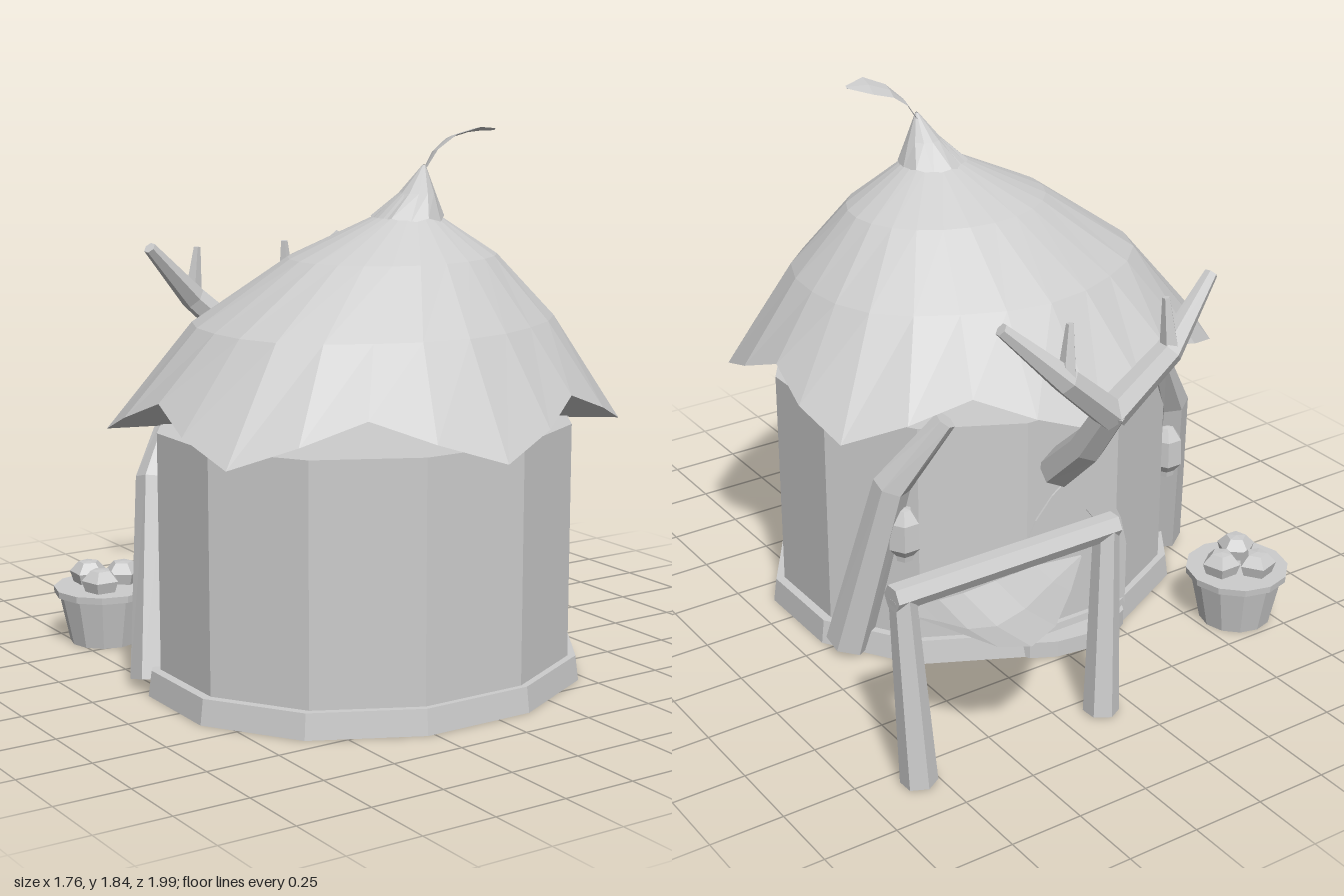
import * as THREE from 'three';

const CX = -0.077, CZ = 0.215;   // centre of the hut
const V = (x, y, z) => new THREE.Vector3(x, y, z);

// Skin through cross-section rings, optionally capped at both ends
function loft(rings, caps = true) {
  const n = rings[0].length, pos = [];
  const tri = (...p) => p.forEach(v => pos.push(v.x, v.y, v.z));
  for (let i = 0; i < rings.length - 1; i++) {
    for (let j = 0; j < n; j++) {
      const k = (j + 1) % n;
      const a = rings[i][j], b = rings[i][k], c = rings[i + 1][k], d = rings[i + 1][j];
      tri(a, b, c);
      tri(a, c, d);
    }
  }
  if (caps) {
    const first = rings[0], last = rings[rings.length - 1];
    for (let j = 1; j < n - 1; j++) {
      tri(first[0], first[j + 1], first[j]);
      tri(last[0], last[j], last[j + 1]);
    }
  }
  const g = new THREE.BufferGeometry();
  g.setAttribute('position', new THREE.Float32BufferAttribute(pos, 3));
  return g;
}

// Tapered bent limb along points with a radius at each
function limb(points, radii, sides = 6) {
  return loft(points.map((p, i) => {
    const t = points[Math.min(i + 1, points.length - 1)].clone()
      .sub(points[Math.max(i - 1, 0)]).normalize();
    const u = t.clone().cross(Math.abs(t.z) < 0.8 ? V(0, 0, 1) : V(1, 0, 0)).normalize();
    const v = t.clone().cross(u);
    return Array.from({ length: sides }, (_, j) => {
      const a = (j + 0.5) / sides * Math.PI * 2;
      return p.clone().addScaledVector(u, radii[i] * Math.cos(a)).addScaledVector(v, radii[i] * Math.sin(a));
    });
  }));
}

// Pointed arch outline, base at y0
function arch(w, y0, spring, top) {
  const s = new THREE.Shape();
  s.moveTo(-w, y0);
  s.lineTo(w, y0);
  s.lineTo(w, spring);
  s.quadraticCurveTo(w * 0.85, spring + (top - spring) * 0.7, 0, top);
  s.quadraticCurveTo(-w * 0.85, spring + (top - spring) * 0.7, -w, spring);
  return s;
}

export function createModel() {
  const root = new THREE.Group();
  const grey = new THREE.MeshStandardMaterial({ color: 0xcccccc, side: THREE.DoubleSide });
  grey.name = 'light grey';

  // Adds a faceted mesh
  const add = (name, geo, x = 0, y = 0, z = 0, parent = root) => {
    const g = geo.index ? geo.toNonIndexed() : geo;
    g.computeVertexNormals();
    const m = new THREE.Mesh(g, grey);
    m.name = name;
    m.position.set(x, y, z);
    parent.add(m);
    return m;
  };

  // Oval twelve-sided walls standing on a hollow plinth
  const turn = Math.PI / 12;
  add('walls', new THREE.CylinderGeometry(1, 1, 0.79, 12).rotateY(turn).scale(0.7225, 1, 0.636), CX, 0.48, CZ);
  add('plinthSide', new THREE.CylinderGeometry(0.985, 1, 0.085, 12, 1, true).rotateY(turn).scale(0.766, 1, 0.667), CX, 0.0425, CZ);
  add('plinthTop', new THREE.CircleGeometry(0.985, 12).rotateX(-Math.PI / 2).rotateY(turn).scale(0.766, 1, 0.667), CX, 0.085, CZ);

  // Roof: underside fan, six drooping lobes at the eave, leaning up to an off-centre peak
  const N = 24;
  const ring = (cx, cz, rx, rz, y, lobe = 0, droop = 0) => Array.from({ length: N }, (_, j) => {
    const a = j / N * Math.PI * 2, k = (1 - Math.cos(6 * a)) / 2;
    const r = 1 + lobe * k;
    return V(cx + rx * r * Math.cos(a), y - droop * k, cz - rz * r * Math.sin(a));
  });
  add('roof', loft([
    ring(CX, CZ, 0.003, 0.003, 0.888),
    ring(CX, CZ, 0.778, 0.686, 1.005, 0.132, 0.145),
    ring(-0.067, 0.25, 0.605, 0.51, 1.215, 0.03),
    ring(-0.02, 0.285, 0.36, 0.3, 1.425),
    ring(0.005, 0.327, 0.113, 0.105, 1.553),
    ring(0.046, 0.365, 0.003, 0.003, 1.7),
  ]));
  const capRing = (r, y, x, z, zig) => Array.from({ length: 12 }, (_, j) => {
    const a = j / 12 * Math.PI * 2;
    return V(x + r * Math.cos(a), y + (j % 2 ? zig : 0), z - r * Math.sin(a));
  });
  add('roofCap', loft([capRing(0.12, 1.54, 0.008, 0.327, 0.015), capRing(0.06, 1.63, 0.03, 0.35, 0),
    capRing(0.005, 1.72, 0.046, 0.365, 0)], false));

  // Curled leaf on the peak
  const leaf = [[0.046, 1.7, 0.362, 0.012], [0.09, 1.765, 0.362, 0.026], [0.14, 1.81, 0.38, 0.048],
    [0.205, 1.832, 0.41, 0.062], [0.28, 1.832, 0.428, 0.01]];
  add('leaf', loft(leaf.map(([x, y, z, w]) => [V(x + w * 0.3, y - w * 0.25, z - w), V(x, y, z),
    V(x - w * 0.2, y + w * 0.15, z + w), V(x, y - 0.006, z)]), false));

  // Door with pointed frame, knob and rounded step
  const door = new THREE.Group();
  door.name = 'door';
  door.position.set(CX, 0, 0);
  root.add(door);
  const frame = arch(0.23, 0.06, 0.3, 0.64);
  frame.holes.push(arch(0.14, 0.07, 0.28, 0.53));
  add('doorFrame', new THREE.ExtrudeGeometry(frame, { depth: 0.08, bevelEnabled: false, curveSegments: 4 }), 0, 0, -0.406, door);
  add('doorPanel', new THREE.ExtrudeGeometry(arch(0.14, 0.07, 0.28, 0.53),
    { depth: 0.05, bevelEnabled: false, curveSegments: 4 }), 0, 0, -0.4, door);
  add('doorKnob', new THREE.IcosahedronGeometry(0.02, 0).scale(1, 1, 0.45), 0.09, 0.257, -0.444, door);
  add('doorStepSide', new THREE.CylinderGeometry(1, 1, 0.06, 12, 1, true).scale(0.23, 1, 0.12), 0, 0.03, -0.38, door);
  add('doorStepTop', new THREE.CircleGeometry(1, 12).rotateX(-Math.PI / 2).rotateY(Math.PI / 2).scale(0.23, 1, 0.12), 0, 0.06, -0.38, door);

  // Leaning side struts, each with a lantern
  for (const s of [1, -1]) {
    const side = s > 0 ? 'left' : 'right';
    const X = x => CX + s * (x - CX);
    add(side + 'Strut', limb([V(X(0.6), 0.027, -0.035), V(X(0.505), 0.67, -0.185), V(X(0.36), 0.91, -0.29)],
      [0.079, 0.064, 0.038]));
    const profile = [[0, -0.1], [0.03, -0.1], [0.033, -0.08], [0.058, -0.05], [0.055, 0.045], [0.025, 0.088], [0, 0.092]];
    add(side + 'Lantern', new THREE.LatheGeometry(profile.map(p => new THREE.Vector2(...p)), 6).rotateY(Math.PI / 6), X(0.475), 0.495, -0.21);
  }

  // Forked branch over the door
  add('branchTrunk', limb([V(0, 0.68, -0.41), V(0, 0.84, -0.58), V(0, 1.03, -0.715)], [0.066, 0.061, 0.055]));
  for (const s of [1, -1]) {
    add('branchArm', limb([V(0, 1.0, -0.70), V(s * 0.2, 1.18, -0.73), V(s * 0.405, 1.38, -0.675)], [0.056, 0.047, 0.023]));
    add('branchTwig', limb([V(s * 0.2, 1.18, -0.735), V(s * 0.185, 1.365, -0.725)], [0.034, 0.013], 5));
  }

  // Hammock frame
  for (const s of [1, -1]) {
    add('hammockPost', limb([V(0.462 + s * 0.352, 0.005, -0.83), V(0.462 + s * 0.38, 0.66, -0.797)], [0.06, 0.042]));
  }
  add('hammockBeam', limb([V(0.05, 0.662, -0.795), V(0.878, 0.662, -0.795)], [0.044, 0.044]));

  // Hammock cloth, widest and lowest in the middle
  const cloth = Array.from({ length: 7 }, (_, i) => {
    const x = 0.17 + i * 0.64 / 6 + 0.02, f = Math.max(Math.sin(i / 6 * Math.PI), 0.02);
    const y = 0.6 - 0.125 * f ** 1.4, z = -0.81;
    return [V(x, y, z - 0.19 * f), V(x, y - 0.025 * f, z), V(x, y, z + 0.19 * f), V(x, y - 0.026 * f, z)];
  });
  add('hammockCloth', loft(cloth, false));

  // Basket of fruit
  const basket = new THREE.Group();
  basket.name = 'basket';
  basket.position.set(-0.645, 0, -0.605);
  root.add(basket);
  add('basketBody', new THREE.CylinderGeometry(0.163, 0.125, 0.18, 12, 1, true), 0, 0.09, 0, basket);
  add('basketRim', new THREE.CylinderGeometry(0.18, 0.178, 0.024, 12), 0, 0.187, 0, basket);
  [[-0.027, -0.07, 0.3], [0.075, -0.003, 0], [-0.045, 0.062, 0.6]].forEach(([x, z, spin]) => {
    const profile = [[0.055, 0], [0.068, 0.04], [0.036, 0.075], [0, 0.078]];
    add('fruit', new THREE.LatheGeometry(profile.map(p => new THREE.Vector2(...p)), 5).rotateY(spin), x, 0.198, z, basket);
  });

  return root;
}
